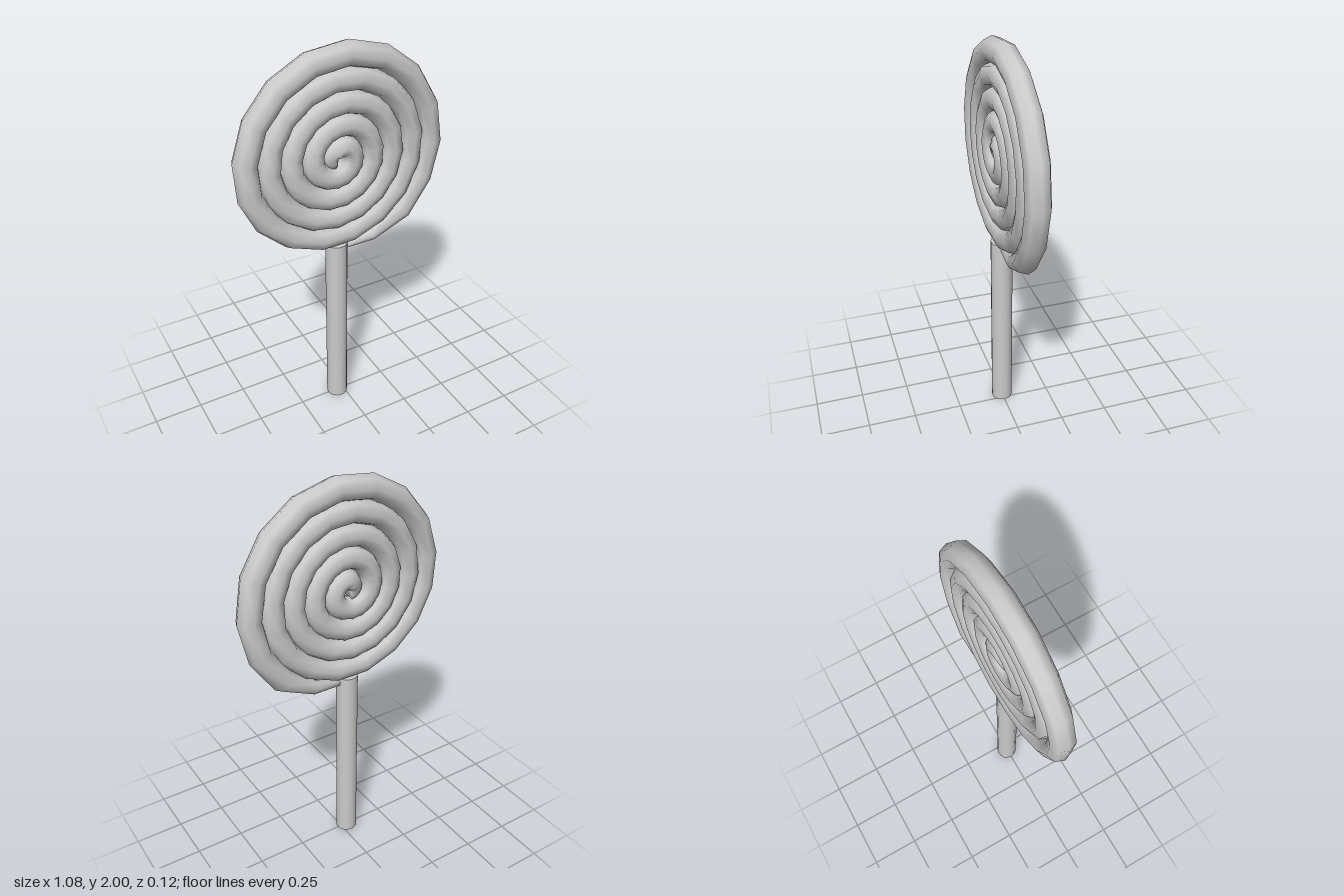
import * as THREE from 'three';

const material = new THREE.MeshStandardMaterial({ color: 0xcccccc });

// Coiled rope: an eight-sided section swept clockwise and outwards in the XY plane
function coilGeometry() {
  const sides = 8, steps = 82, pitch = 0.108;
  const positions = [], index = [];
  for (let i = 0; i <= steps; i++) {
    const degrees = 6.3 + 21.75 * (i - 74) - (i === steps ? 5 : 0);
    const angle = THREE.MathUtils.degToRad(degrees);
    let reach = Math.max(0.035, 0.48 + pitch * degrees / 360);
    let radius = 0.03 + 0.03 * Math.min(1, i / 8); // thinner at the inner tip
    // Outer tail thins out and tucks against the turn inside it
    if (i === steps - 1) { reach = 0.515; radius = 0.037; }
    if (i === steps) { reach = 0.5; radius = 0.02; }
    for (let j = 0; j < sides; j++) {
      const a = j / sides * Math.PI * 2;
      const r = reach + Math.cos(a) * radius;
      positions.push(Math.sin(angle) * r, Math.cos(angle) * r, Math.sin(a) * radius);
    }
    if (i === 0 || i === steps) continue;
  }
  for (let i = 0; i < steps; i++) {
    for (let j = 0; j < sides; j++) {
      const a = i * sides + j, b = i * sides + (j + 1) % sides;
      index.push(a, b, a + sides, b, b + sides, a + sides);
    }
  }
  // Close both tips
  const last = steps * sides;
  for (let j = 1; j < sides - 1; j++) {
    index.push(0, j + 1, j, last, last + j, last + j + 1);
  }
  const geometry = new THREE.BufferGeometry();
  geometry.setAttribute('position', new THREE.Float32BufferAttribute(positions, 3));
  geometry.setIndex(index);
  geometry.computeVertexNormals();
  return geometry;
}

export function createModel() {
  const model = new THREE.Group();
  model.name = 'lollipop';

  const candy = new THREE.Mesh(coilGeometry(), material);
  candy.name = 'spiralCandy';
  candy.position.set(-0.03, 1.461, 0);
  model.add(candy);

  const stick = new THREE.Mesh(new THREE.CylinderGeometry(0.055, 0.055, 0.99, 16), material);
  stick.name = 'stick';
  stick.position.set(-0.035, 0.495, 0);
  model.add(stick);

  return model;
}
